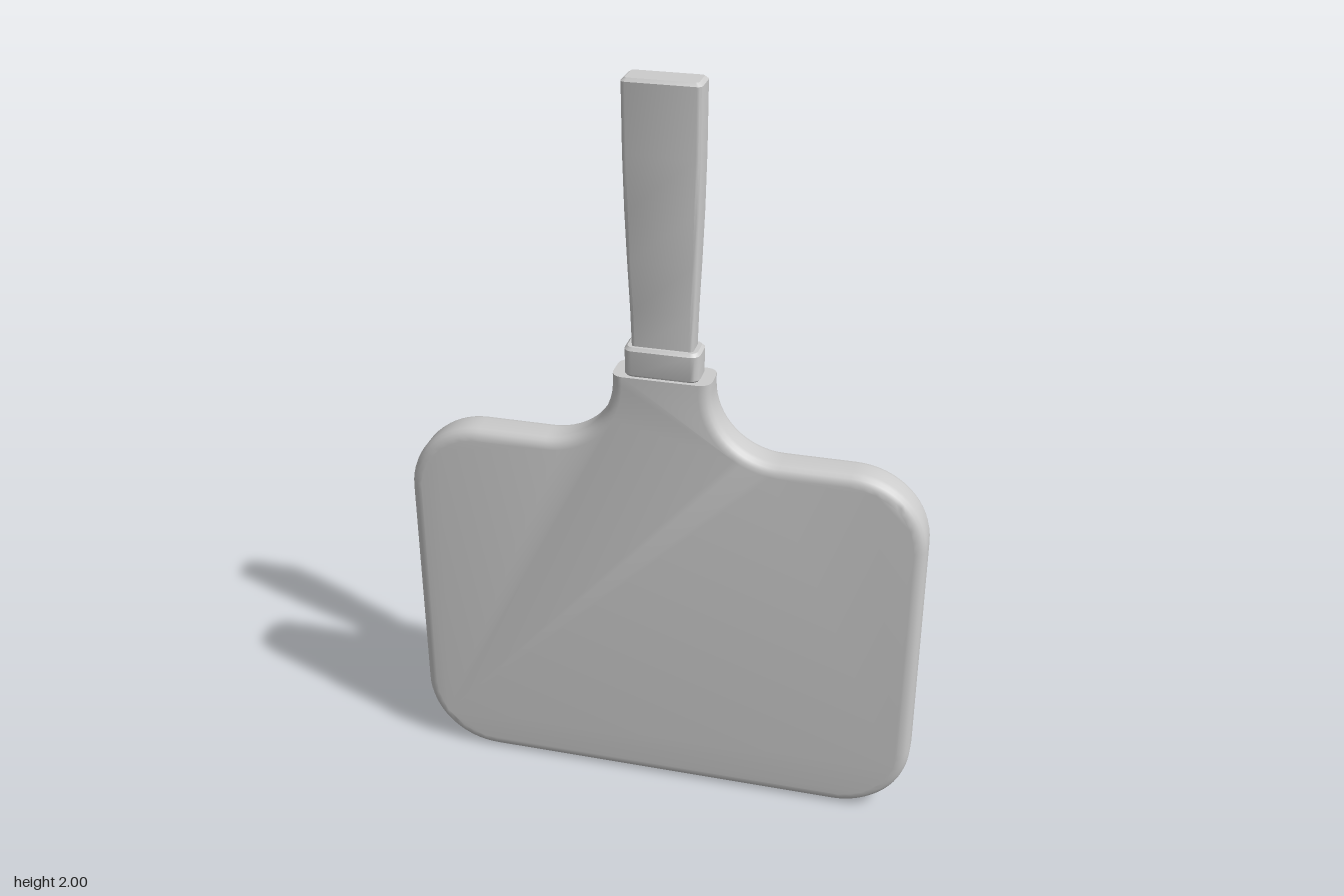
import * as THREE from 'three';
import { toCreasedNormals } from 'three/addons/utils/BufferGeometryUtils.js';

const grey = new THREE.MeshStandardMaterial({ color: 0xcccccc });

function part(name, geometry, crease) {
  const mesh = new THREE.Mesh(toCreasedNormals(geometry, crease), grey);
  mesh.name = name;
  return mesh;
}

// Rounded rectangle ring, from half sizes and corner radius, at height y
function ring(y, hx, hz, r, steps = 3) {
  const points = [];
  const corners = [[1, 1], [-1, 1], [-1, -1], [1, -1]];
  corners.forEach(([sx, sz], q) => {
    for (let i = 0; i <= steps; i++) {
      const a = (q + i / steps) * Math.PI / 2;
      points.push([sx * (hx - r) + r * Math.cos(a), y, sz * (hz - r) + r * Math.sin(a)]);
    }
  });
  return points;
}

// Skin over a stack of rings, closed at both ends
function loft(rings) {
  const n = rings[0].length, last = rings.length - 1;
  const positions = rings.flat(2), index = [];
  for (let i = 0; i < last; i++) {
    for (let j = 0; j < n; j++) {
      const a = i * n + j, b = i * n + (j + 1) % n;
      index.push(a, a + n, b, b, a + n, b + n);
    }
  }
  const bottom = rings.length * n, top = bottom + 1;
  positions.push(0, rings[0][0][1], 0, 0, rings[last][0][1], 0);
  for (let j = 0; j < n; j++) {
    const k = (j + 1) % n;
    index.push(bottom, j, k, top, last * n + k, last * n + j);
  }
  const geometry = new THREE.BufferGeometry();
  geometry.setAttribute('position', new THREE.Float32BufferAttribute(positions, 3));
  geometry.setIndex(index);
  return geometry;
}

// Flat blade with round corners, flowing into a neck that is cut off flat
function bladeGeometry() {
  const w = 0.69, h = 1.04, r = 0.2, neck = 0.128, neckTop = 1.245, fillet = 0.18, bevel = 0.03;
  const s = new THREE.Shape();
  s.moveTo(-w + r, 0);
  s.lineTo(w - r, 0);
  s.absarc(w - r, r, r, -Math.PI / 2, 0);
  s.lineTo(w, h - r);
  s.absarc(w - r, h - r, r, 0, Math.PI / 2);
  s.absarc(neck + fillet, h + fillet, fillet, -Math.PI / 2, -Math.PI, true);
  s.lineTo(neck, neckTop + bevel);
  s.lineTo(-neck, neckTop + bevel);
  s.absarc(-neck - fillet, h + fillet, fillet, 0, -Math.PI / 2, true);
  s.absarc(-w + r, h - r, r, Math.PI / 2, Math.PI);
  s.absarc(-w + r, r, r, Math.PI, Math.PI * 1.5);
  const depth = 0.106 - 2 * bevel;
  const geometry = new THREE.ExtrudeGeometry(s, {
    depth, curveSegments: 8, bevelEnabled: true, bevelSegments: 4,
    bevelSize: bevel, bevelThickness: bevel, bevelOffset: -bevel,
  });
  geometry.translate(0, 0, -depth / 2);
  const p = geometry.attributes.position;
  for (let i = 0; i < p.count; i++) p.setY(i, Math.min(p.getY(i), neckTop));
  return geometry;
}

export function createModel() {
  const group = new THREE.Group();
  group.name = 'paddle';

  group.add(part('blade', bladeGeometry(), 0.7));

  // Collar between neck and handle
  group.add(part('collar', loft([
    ring(1.24, 0.09, 0.039, 0.02),
    ring(1.25, 0.097, 0.045, 0.022),
    ring(1.315, 0.097, 0.045, 0.022),
    ring(1.323, 0.09, 0.038, 0.018),
  ]), 0.6));

  // Handle flaring gently towards its end
  group.add(part('handle', loft([
    ring(1.315, 0.079, 0.03, 0.01),
    ring(1.42, 0.082, 0.032, 0.01),
    ring(1.55, 0.088, 0.035, 0.011),
    ring(1.68, 0.093, 0.038, 0.012),
    ring(1.82, 0.096, 0.04, 0.012),
    ring(1.992, 0.097, 0.041, 0.012),
    ring(2, 0.088, 0.033, 0.008),
  ]), 0.6));

  return group;
}
